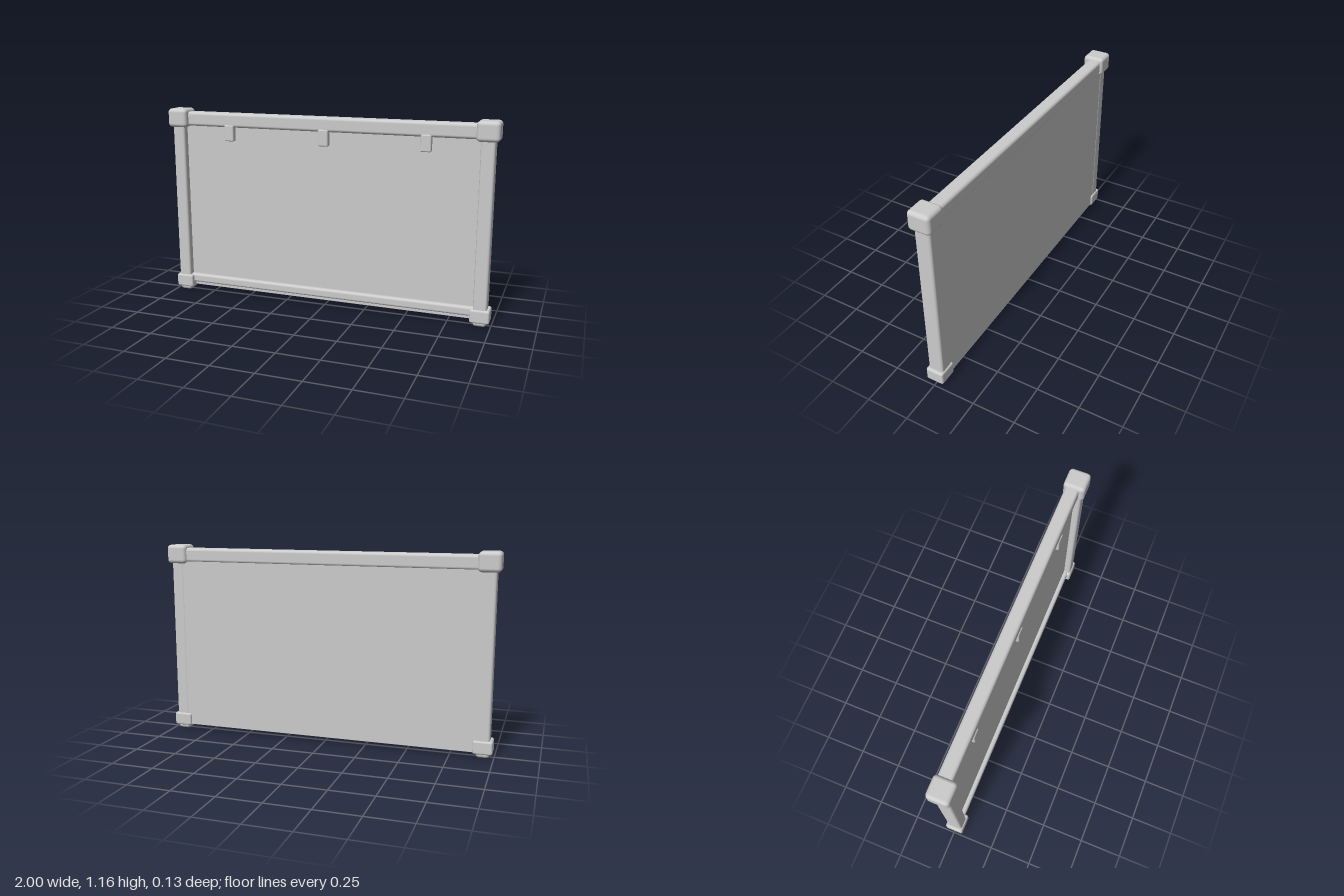
import * as THREE from 'three';
import { RoundedBoxGeometry } from 'three/addons/geometries/RoundedBoxGeometry.js';

export function createModel() {
  const model = new THREE.Group();
  model.name = 'framedBoard';
  const grey = new THREE.MeshStandardMaterial({ name: 'lightGrey', color: 0xcccccc });

  // Rounded block given by its lower and upper corners
  function block(name, min, max, radius) {
    const size = max.map((v, i) => v - min[i]);
    const mesh = new THREE.Mesh(new RoundedBoxGeometry(...size, 4, radius), grey);
    mesh.position.set(...min.map((v, i) => (v + max[i]) / 2));
    mesh.name = name;
    model.add(mesh);
  }

  // Board, nearly flush with the back of the frame
  block('panel', [-0.93, 0.03, -0.043], [0.93, 1.1, 0.005], 0.003);

  // Rails across the top and bottom
  block('topRail', [-0.94, 1.057, -0.049], [0.94, 1.142, 0.032], 0.018);
  block('bottomRail', [-0.94, 0.053, -0.03], [0.94, 0.107, 0.031], 0.014);

  // Posts with corner caps and feet, mirrored
  for (const [side, s] of [['left', 1], ['right', -1]]) {
    const c = s * 0.937;
    const post = (part, halfX, y0, y1, halfZ, r) =>
      block(side + part, [c - halfX, y0, -halfZ], [c + halfX, y1, halfZ], r);
    post('Post', 0.039, 0.04, 1.12, 0.045, 0.014);
    post('TopCap', 0.063, 1.048, 1.16, 0.064, 0.022);
    post('BottomCap', 0.056, 0.022, 0.102, 0.053, 0.012);
    post('Foot', 0.038, 0, 0.05, 0.043, 0.018);
  }

  // Clips hanging from the top rail
  for (const x of [-0.6, 0, 0.6]) {
    block('clip', [x - 0.03, 0.975, 0], [x + 0.03, 1.072, 0.037], 0.008);
  }

  return model;
}
